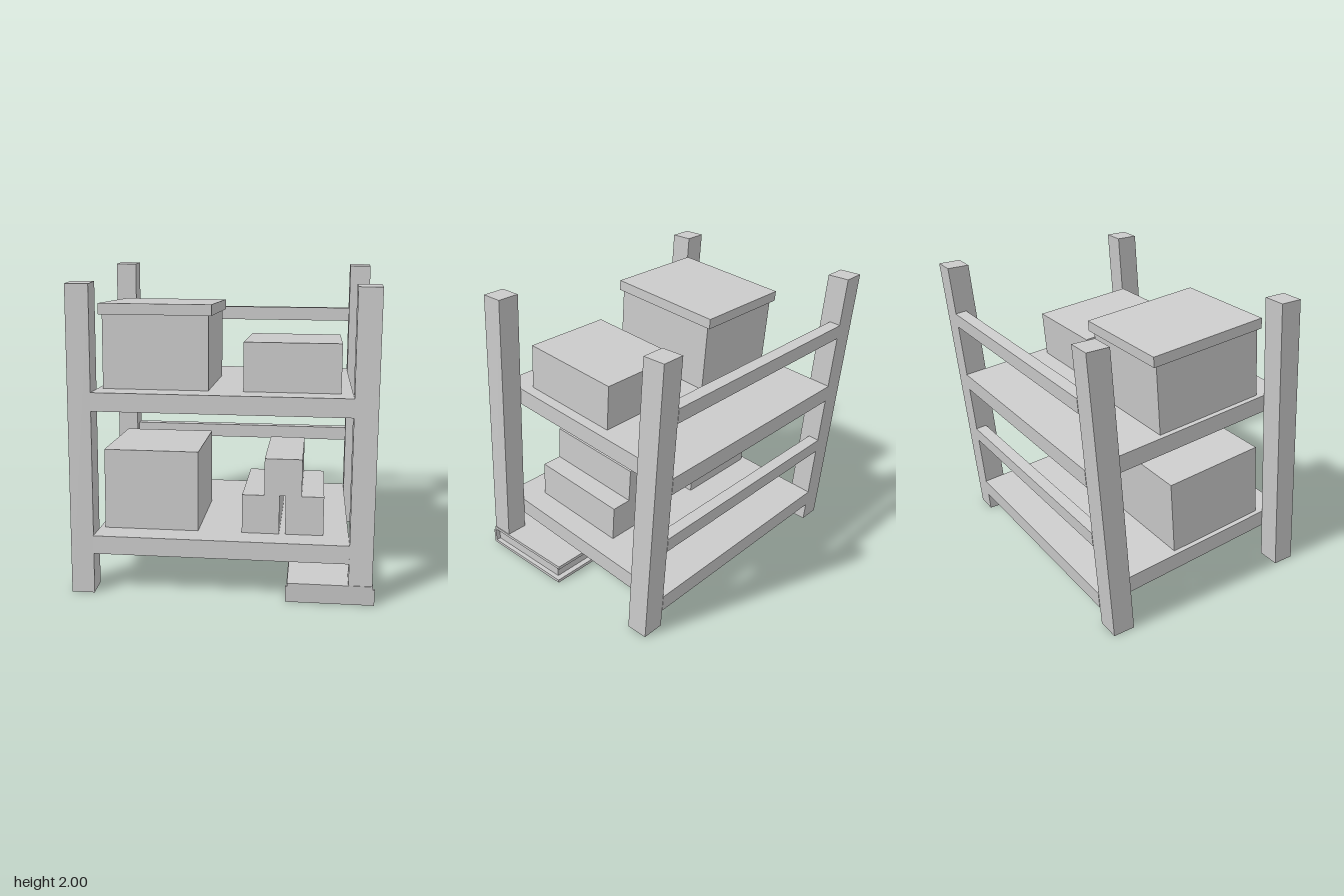
import * as THREE from 'three';

const material = new THREE.MeshStandardMaterial({ color: 0xcccccc, flatShading: true });

// Box given by its low and high limits on each axis
function block(parent, name, [x0, x1], [y0, y1], [z0, z1]) {
  const mesh = new THREE.Mesh(new THREE.BoxGeometry(x1 - x0, y1 - y0, z1 - z0), material);
  mesh.position.set((x0 + x1) / 2, (y0 + y1) / 2, (z0 + z1) / 2);
  mesh.name = name;
  parent.add(mesh);
  return mesh;
}

// Leaning post with level ends: a box sheared along z
function post(parent, name, x, y0, zBottom, zTop) {
  const mesh = block(parent, name, [x, x + 0.15], [y0, 2], [-0.076, 0.076]);
  const p = mesh.geometry.attributes.position;
  for (let i = 0; i < p.count; i++) p.setZ(i, p.getZ(i) + (p.getY(i) > 0 ? zTop : zBottom));
  mesh.geometry.computeVertexNormals();
}

export function createModel() {
  const model = new THREE.Group();
  model.name = 'tiltedShelfUnit';

  // Posts: one front post rests on the book
  const left = 0.815, right = -0.985;
  post(model, 'frontLeftPost', left, 0.13, 0.78, 0.615);
  post(model, 'frontRightPost', right, 0, 0.78, 0.615);
  post(model, 'backLeftPost', left, 0, -0.61, -0.785);
  post(model, 'backRightPost', right, 0, -0.61, -0.785);

  // Everything else on the unit tips back by five degrees
  const rack = new THREE.Group();
  rack.name = 'tiltedRack';
  rack.rotation.x = THREE.MathUtils.degToRad(-5);
  model.add(rack);

  // Shelves with a rail behind each
  const span = [-0.835, 0.815];
  const lower = 0.316, upper = 1.255;
  for (const [level, top] of [['lower', lower], ['upper', upper]]) {
    block(rack, level + 'Shelf', span, [top - 0.12, top], [-0.686, 0.862]);
    block(rack, level + 'BackRail', span, [top + 0.381, top + 0.479], [-0.686, -0.605]);
  }

  // Upper shelf: lidded box and plain box
  block(rack, 'liddedBox', [-0.8, -0.11], [upper, 1.736], [-0.114, 0.674]);
  block(rack, 'boxLid', [-0.82, -0.09], [1.736, 1.807], [-0.143, 0.695]);
  block(rack, 'upperBox', [0.115, 0.74], [upper, 1.573], [-0.052, 0.672]);

  // Lower shelf: large box and a stack of three small ones
  const depth = [-0.052, 0.672];
  block(rack, 'lowerBox', [-0.8, -0.175], [lower, 0.85], depth);
  block(rack, 'stackBoxRight', [0.115, 0.36], [lower, 0.574], depth);
  block(rack, 'stackBoxLeft', [0.4, 0.65], [lower, 0.574], depth);
  block(rack, 'stackBoxTop', [0.26, 0.505], [0.574, 0.82], depth);

  // Book propping up the front post
  const book = new THREE.Group();
  book.name = 'proppingBook';
  model.add(book);
  block(book, 'bottomCover', [0.415, 0.982], [0, 0.022], [0.14, 0.84]);
  block(book, 'topCover', [0.425, 0.97], [0.108, 0.13], [0.14, 0.86]);
  block(book, 'pages', [0.43, 0.95], [0.022, 0.108], [0.18, 0.84]);
  block(book, 'spine', [0.415, 0.982], [0, 0.108], [0.84, 0.86]);

  return model;
}
